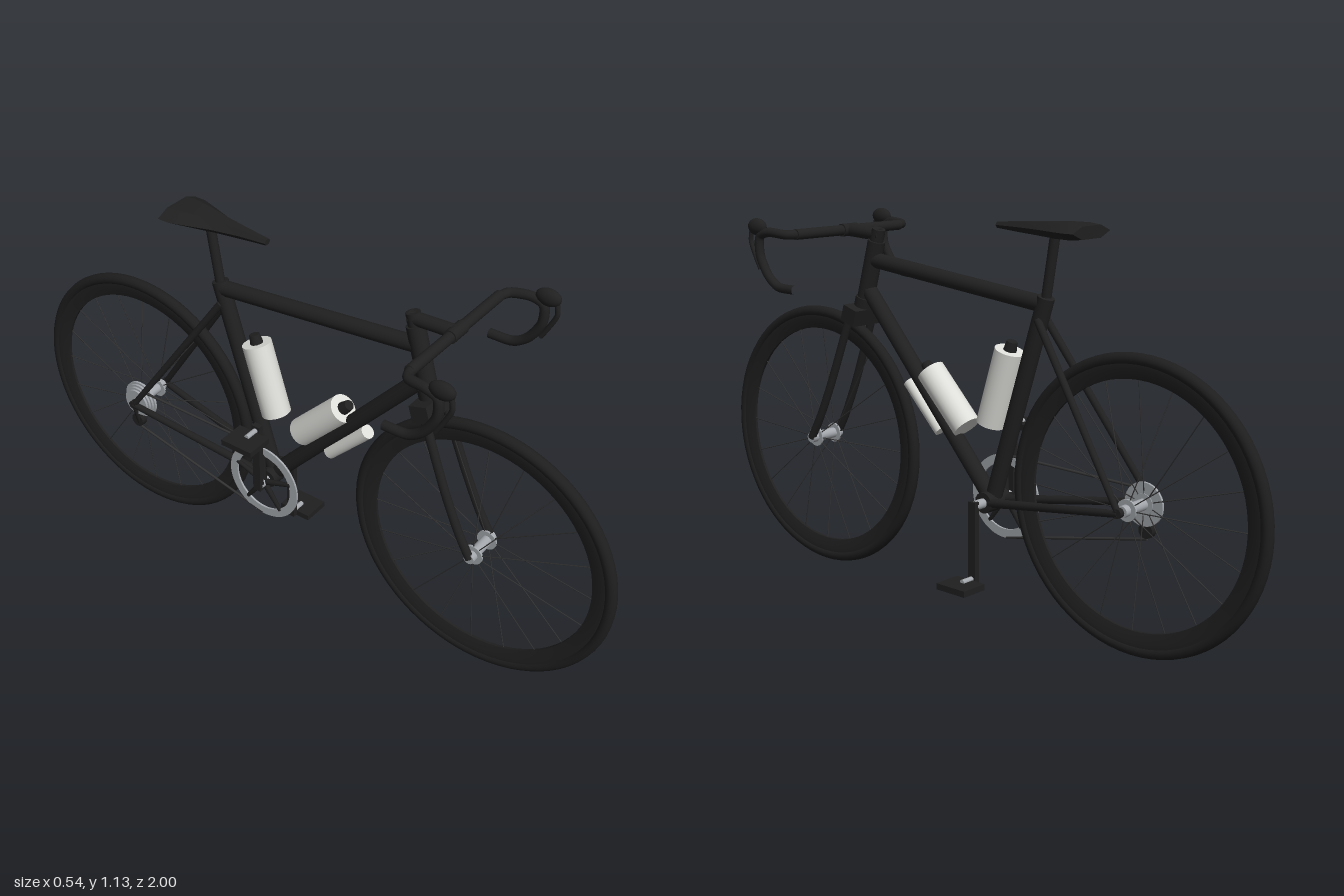
import * as THREE from 'three';
import { toCreasedNormals } from 'three/addons/utils/BufferGeometryUtils.js';

const mat = (name, color) => Object.assign(new THREE.MeshStandardMaterial({ color }), { name });
const V = (x, y, z) => new THREE.Vector3(x, y, z);

export function createModel() {
  const root = new THREE.Group();
  root.name = 'roadBicycle';
  const black = mat('frameBlack', 0x202020);
  const rubber = mat('tyreRubber', 0x1e1e1e);
  const dark = mat('darkSteel', 0x343434);
  const silver = mat('silver', 0xa4a8ad);
  const cream = mat('bottleCream', 0xdededa);

  const add = (name, geo, m, parent = root) => {
    const mesh = new THREE.Mesh(geo, m);
    mesh.name = name;
    parent.add(mesh);
    return mesh;
  };
  // straight round tube between two points
  const rod = (name, m, a, b, r1, r2 = r1, parent = root, sides = 16) => {
    const d = b.clone().sub(a);
    const mesh = add(name, new THREE.CylinderGeometry(r2, r1, d.length(), sides), m, parent);
    mesh.position.copy(a).addScaledVector(d, 0.5);
    mesh.quaternion.setFromUnitVectors(V(0, 1, 0), d.normalize());
    return mesh;
  };
  const box = (name, m, w, h, d, p, rx = 0) => {
    const mesh = add(name, new THREE.BoxGeometry(w, h, d), m);
    mesh.position.copy(p);
    mesh.rotation.x = rx;
    return mesh;
  };
  const bent = (name, m, pts, r, tension = 0.4) => add(name, new THREE.TubeGeometry(
    new THREE.CatmullRomCurve3(pts, false, 'catmullrom', tension), 40, r, 12), m);

  const hubY = 0.407, hubZ = 0.595;
  const bb = V(0, 0.33, -0.105), seatTop = V(0, 0.925, -0.29), headLow = V(0, 0.85, 0.403), headTop = V(0, 1.03, 0.352);

  // Wheels: tyre, rim, hub with flanges, alternating spokes
  const wheel = (name, z) => {
    const g = new THREE.Group();
    g.name = name;
    g.position.set(0, hubY, z);
    root.add(g);
    add('tyre', new THREE.TorusGeometry(0.389, 0.017, 14, 72), rubber, g).rotation.y = Math.PI / 2;
    const profile = [[0.337, -0.004], [0.365, -0.012], [0.378, -0.012], [0.378, 0.012], [0.365, 0.012], [0.337, 0.004], [0.337, -0.004]]
      .map(p => new THREE.Vector2(...p));
    add('rim', toCreasedNormals(new THREE.LatheGeometry(profile, 72), 0.6), black, g).rotation.z = Math.PI / 2;
    rod('hub', silver, V(-0.06, 0, 0), V(0.06, 0, 0), 0.016, 0.016, g);
    for (const s of [-1, 1]) rod('hubFlange', silver, V(s * 0.034, 0, 0), V(s * 0.04, 0, 0), 0.03, 0.03, g, 20);
    for (let i = 0; i < 20; i++) {
      const a = i * Math.PI / 10, c = Math.cos(a), s = Math.sin(a);
      rod('spoke', dark, V(i % 2 ? 0.037 : -0.037, 0.026 * c, 0.026 * s), V(0, 0.34 * c, 0.34 * s), 0.0016, 0.0016, g, 5);
    }
    return g;
  };
  wheel('frontWheel', hubZ);
  const rear = wheel('rearWheel', -hubZ);

  // Stepped sprocket stack on the drive side
  for (let i = 0; i < 4; i++) {
    const x = -0.036 - i * 0.007, r = 0.06 - i * 0.006;
    rod('sprocket', silver, V(x, 0, 0), V(x - 0.007, 0, 0), r, r, rear, 28);
  }

  // Main frame tubes
  rod('headTube', black, headLow, headTop, 0.026);
  rod('lowerHeadset', black, V(0, 0.83, 0.409), V(0, 0.86, 0.4), 0.031);
  rod('topTube', black, V(0, 0.973, 0.362), V(0, 0.905, -0.283), 0.023);
  rod('downTube', black, V(0, 0.885, 0.39), bb, 0.024);
  rod('seatTube', black, bb, seatTop, 0.024);
  rod('bottomBracketShell', black, V(-0.042, bb.y, bb.z), V(0.042, bb.y, bb.z), 0.03);
  rod('seatPost', black, seatTop, V(0, 1.095, -0.318), 0.014);

  // Fork, stays and handlebar drops on both sides
  box('forkCrown', black, 0.122, 0.05, 0.055, V(0, 0.808, 0.415), -0.3);
  for (const s of [-1, 1]) {
    bent('forkBlade', black, [V(s * 0.048, 0.82, 0.415), V(s * 0.053, 0.6, 0.5), V(s * 0.055, 0.48, 0.554), V(s * 0.056, hubY, hubZ)], 0.0125);
    rod('seatStay', black, V(s * 0.018, 0.865, -0.275), V(s * 0.074, 0.41, -0.592), 0.011, 0.009);
    rod('chainStay', black, V(s * 0.03, 0.33, -0.115), V(s * 0.074, 0.405, -0.595), 0.013, 0.01);
    rod('rearDropout', black, V(s * 0.066, hubY, -hubZ), V(s * 0.082, hubY, -hubZ), 0.013);

    bent('handlebarDrop', black, [V(s * 0.16, 1.055, 0.47), V(s * 0.2, 1.055, 0.47), V(s * 0.238, 1.056, 0.485), V(s * 0.25, 1.06, 0.54),
      V(s * 0.252, 1.045, 0.578), V(s * 0.252, 0.99, 0.578), V(s * 0.252, 0.935, 0.545), V(s * 0.252, 0.905, 0.5), V(s * 0.252, 0.902, 0.43)], 0.0135);
    const hood = add('brakeHood', new THREE.SphereGeometry(1, 16, 12), black);
    hood.scale.set(0.018, 0.025, 0.037);
    hood.position.set(s * 0.252, 1.073, 0.588);
    bent('brakeLever', black, [V(s * 0.252, 1.07, 0.612), V(s * 0.252, 1.03, 0.618), V(s * 0.252, 0.985, 0.598), V(s * 0.252, 0.95, 0.578)], 0.007);
  }
  rod('handlebarTop', black, V(-0.21, 1.055, 0.47), V(0.21, 1.055, 0.47), 0.0155);
  rod('handlebarClamp', black, V(-0.03, 1.055, 0.47), V(0.03, 1.055, 0.47), 0.019);
  rod('steererTop', black, headTop, V(0, 1.065, 0.342), 0.02);
  rod('stem', black, V(0, 1.048, 0.335), V(0, 1.055, 0.475), 0.019);

  // Saddle: six-sided sections from nose to tail
  const sections = [[-0.12, 0.012, 0.008], [-0.2, 0.022, 0.014], [-0.28, 0.04, 0.018], [-0.34, 0.06, 0.021], [-0.4, 0.079, 0.021], [-0.436, 0.079, 0.017]];
  const hex = [[1, 0], [0.5, 1], [-0.5, 1], [-1, 0], [-0.5, -1], [0.5, -1]];
  const pos = [], idx = [];
  for (const [z, w, h] of sections) for (const [x, y] of hex) pos.push(x * w, 1.106 + y * h, z);
  for (let i = 0; i < sections.length - 1; i++) for (let j = 0; j < 6; j++) {
    const a = i * 6 + j, b = i * 6 + (j + 1) % 6;
    idx.push(a, a + 6, b, b, a + 6, b + 6);
  }
  const last = (sections.length - 1) * 6;
  for (let j = 1; j < 5; j++) idx.push(0, j, j + 1, last, last + j + 1, last + j);
  const saddle = new THREE.BufferGeometry();
  saddle.setAttribute('position', new THREE.Float32BufferAttribute(pos, 3));
  saddle.setIndex(idx);
  add('saddle', toCreasedNormals(saddle, 0.4), black);

  // Chainring with spider arms
  const ringShape = new THREE.Shape().absarc(0, 0, 0.123, 0, Math.PI * 2);
  ringShape.holes.push(new THREE.Path().absarc(0, 0, 0.097, 0, Math.PI * 2, true));
  const ring = add('chainring', new THREE.ExtrudeGeometry(ringShape, { depth: 0.006, bevelEnabled: false, curveSegments: 40 }), silver);
  ring.rotation.y = Math.PI / 2;
  ring.position.set(-0.058, bb.y, bb.z);
  for (let i = 0; i < 5; i++) {
    const a = i * Math.PI * 0.4;
    rod('spiderArm', black, V(-0.056, bb.y, bb.z), V(-0.056, bb.y + 0.102 * Math.cos(a), bb.z + 0.102 * Math.sin(a)), 0.01, 0.006, root, 8);
  }
  rod('crankAxle', silver, V(-0.078, bb.y, bb.z), V(0.078, bb.y, bb.z), 0.014);

  // Cranks and pedals: drive side up, other side down
  for (const s of [-1, 1]) {
    const tip = bb.y - s * 0.21;
    box('crankArm', black, 0.017, 0.235, 0.026, V(s * 0.081, (bb.y + tip) / 2, bb.z));
    rod('pedalAxle', silver, V(s * 0.08, tip - 0.002, bb.z), V(s * 0.13, tip - 0.002, bb.z), 0.008);
    box('pedal', black, 0.085, 0.018, 0.105, V(s * 0.136, tip - 0.012, bb.z));
  }

  // Chain and rear derailleur
  const derailleur = V(-0.05, 0.325, -0.595);
  rod('chainTop', dark, V(-0.055, 0.452, -0.11), V(-0.048, 0.445, -0.6), 0.004, 0.004, root, 6);
  rod('chainBottom', dark, V(-0.055, 0.208, -0.11), V(-0.05, 0.31, -0.6), 0.004, 0.004, root, 6);
  rod('derailleurCage', black, V(-0.066, 0.4, -0.6), derailleur, 0.01);
  rod('jockeyWheel', black, V(-0.06, 0.335, -0.6), V(-0.04, 0.335, -0.6), 0.022);

  // Bottles along a tube: distances from the bottom bracket, side offset towards the front and up
  const bottle = (name, top, from, to, offset, r) => {
    const d = top.clone().sub(bb).normalize();
    const n = V(0, d.z, -d.y).multiplyScalar(offset);
    const at = t => bb.clone().addScaledVector(d, t).add(n);
    rod(name, cream, at(from), at(to), r, r, root, 24);
    return at;
  };
  const seatBottle = bottle('seatTubeBottle', seatTop, 0.21, 0.435, -0.073, 0.043);
  rod('bottleCap', black, seatBottle(0.435), seatBottle(0.462), 0.019, 0.015);
  const downBottle = bottle('downTubeBottle', headLow, 0.21, 0.412, 0.066, 0.042);
  rod('bottleCap', black, downBottle(0.412), downBottle(0.44), 0.019, 0.015);
  bottle('underTubeCanister', headLow, 0.26, 0.44, -0.023, 0.021);

  return root;
}
